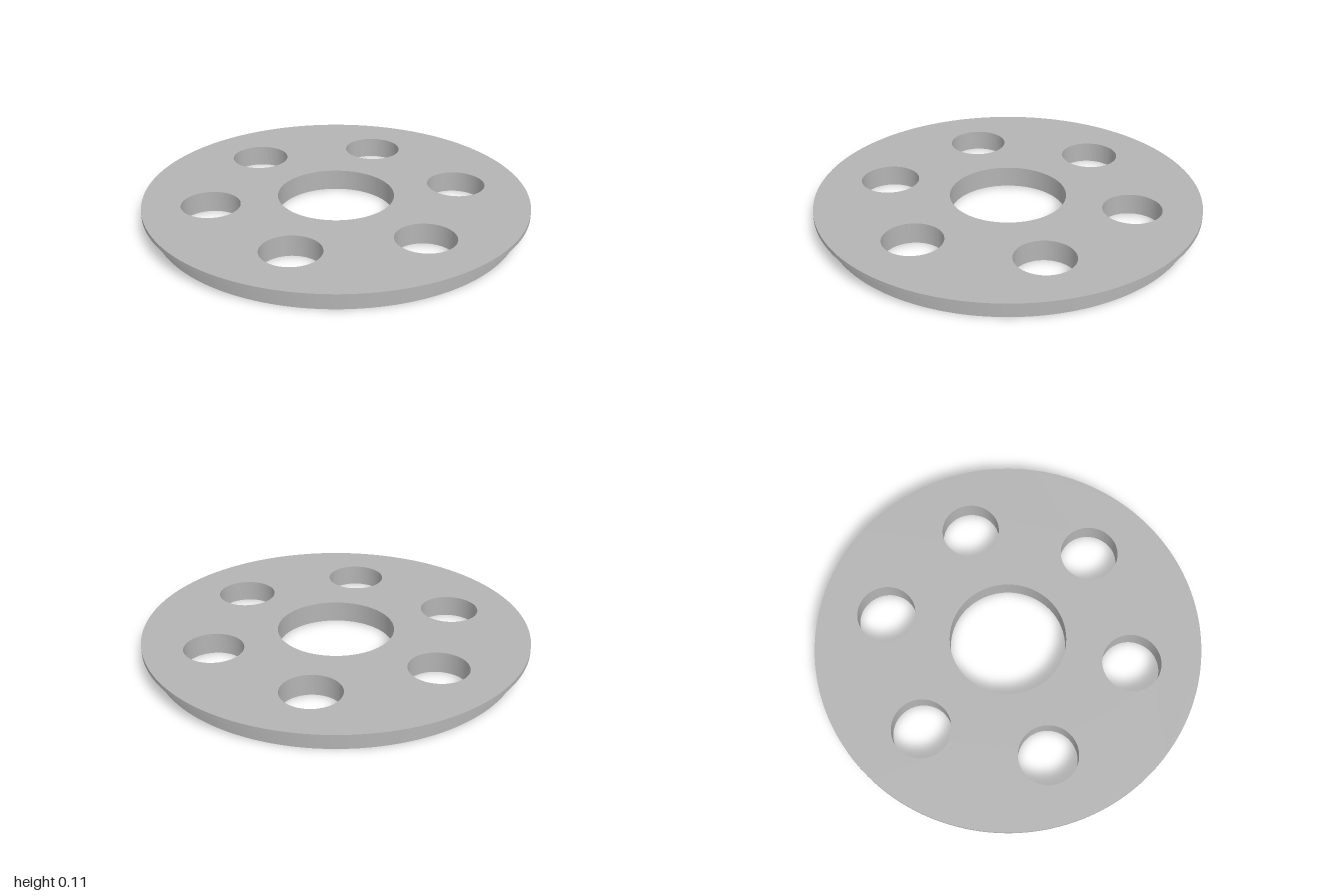
import * as THREE from 'three';
import { toCreasedNormals } from 'three/addons/utils/BufferGeometryUtils.js';

const BORE_RADIUS = 0.302;
const HOLE_RADIUS = 0.152;
const HOLE_CIRCLE = 0.65;
const HOLE_COUNT = 6;

// Round plate with a central bore and a ring of smaller holes
function perforatedDisc(radius, bottom, top) {
  const shape = new THREE.Shape().absarc(0, 0, radius, 0, Math.PI * 2, false);
  const addHole = (x, y, r) =>
    shape.holes.push(new THREE.Path().absarc(x, y, r, 0, Math.PI * 2, true));

  addHole(0, 0, BORE_RADIUS);
  for (let i = 0; i < HOLE_COUNT; i++) {
    const a = (i / HOLE_COUNT) * Math.PI * 2;
    addHole(HOLE_CIRCLE * Math.cos(a), HOLE_CIRCLE * Math.sin(a), HOLE_RADIUS);
  }

  const geometry = new THREE.ExtrudeGeometry(shape, {
    depth: top - bottom,
    bevelEnabled: false,
    curveSegments: 96,
  });
  geometry.rotateX(-Math.PI / 2);
  geometry.translate(0, bottom, 0);
  return toCreasedNormals(geometry, Math.PI / 6);
}

export function createModel() {
  const group = new THREE.Group();
  group.name = 'perforatedFlangedDisc';

  const grey = new THREE.MeshStandardMaterial({ color: 0xb4b4b4 });
  grey.name = 'grey';

  const addPart = (name, radius, bottom, top) => {
    const mesh = new THREE.Mesh(perforatedDisc(radius, bottom, top), grey);
    mesh.name = name;
    group.add(mesh);
  };

  // Thick lower body and the thin, wider lip on top of it
  addPart('discBody', 0.945, 0, 0.088);
  addPart('topFlange', 1, 0.088, 0.11);

  return group;
}
